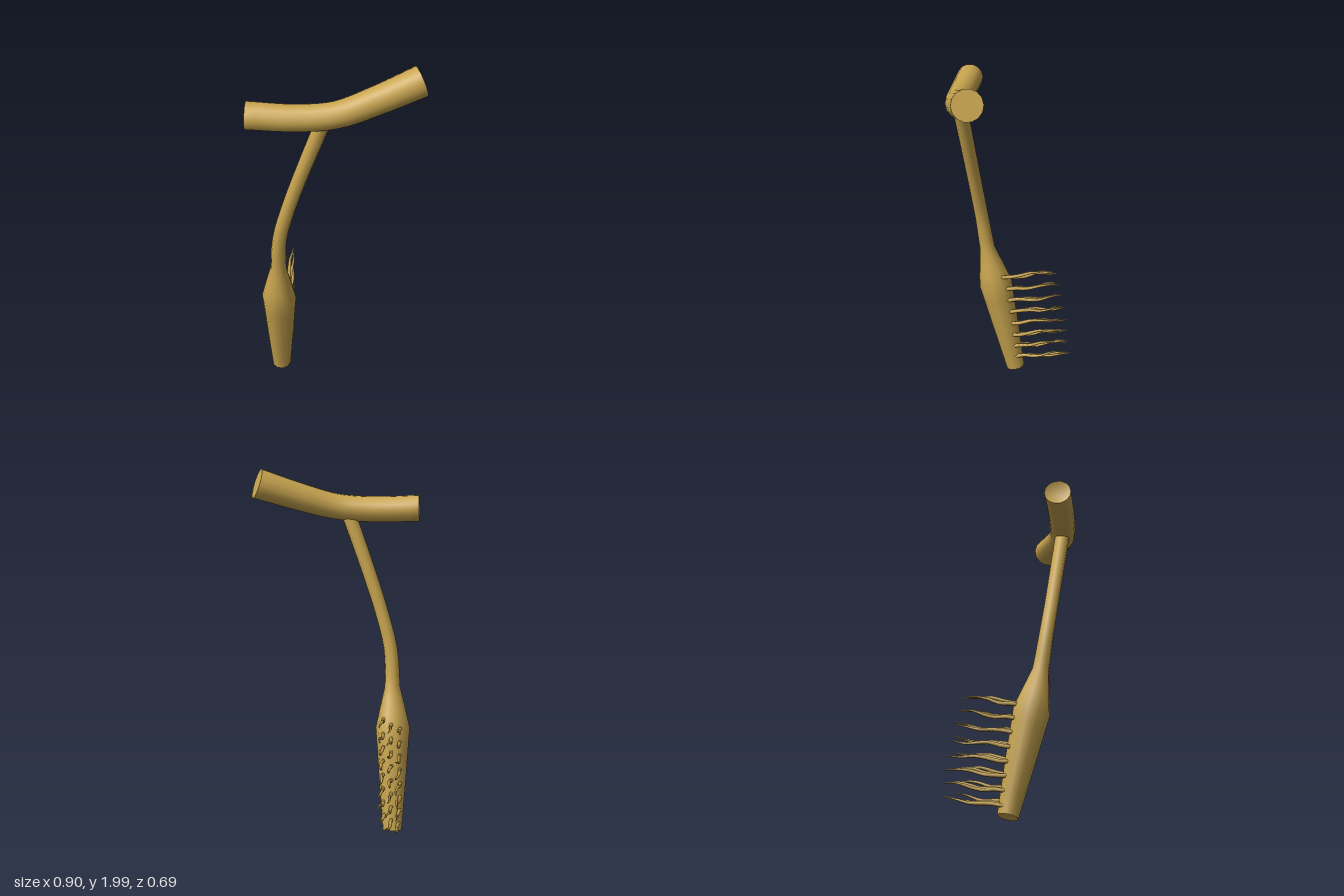
import * as THREE from 'three';

const V = (x, y, z) => new THREE.Vector3(x, y, z);

// Round limb swept through [x, y, z, radius] stations; startDent sinks the first cap
function sweep(stations, sides, steps, ref, startDent = 0) {
  const curve = new THREE.CatmullRomCurve3(stations.map(s => V(s[0], s[1], s[2])));
  const rings = (stations.length - 1) * steps;
  const pos = [], idx = [];
  const push = p => pos.push(p.x, p.y, p.z) / 3 - 1;
  const ringPoints = i => {
    const t = i / rings;
    const k = Math.min(Math.floor(i / steps), stations.length - 2);
    const r = THREE.MathUtils.lerp(stations[k][3], stations[k + 1][3], i / steps - k);
    const c = curve.getPoint(t), tan = curve.getTangent(t);
    const n = ref.clone().cross(tan).normalize();
    const b = tan.clone().cross(n);
    const pts = [];
    for (let j = 0; j < sides; j++) {
      const a = (j / sides) * Math.PI * 2;
      pts.push(c.clone().addScaledVector(n, r * Math.cos(a)).addScaledVector(b, r * Math.sin(a)));
    }
    return { c, tan, pts };
  };
  // Side wall
  for (let i = 0; i <= rings; i++) ringPoints(i).pts.forEach(push);
  for (let i = 0; i < rings; i++) {
    for (let j = 0; j < sides; j++) {
      const a = i * sides + j, b = i * sides + (j + 1) % sides;
      idx.push(a, b, a + sides, b, b + sides, a + sides);
    }
  }
  // Caps with their own corners, so the rims stay sharp
  for (const end of [0, rings]) {
    const { c, tan, pts } = ringPoints(end);
    const mid = push(end ? c : c.clone().addScaledVector(tan, startDent));
    const first = mid + 1;
    pts.forEach(push);
    for (let j = 0; j < sides; j++) {
      const a = first + j, b = first + (j + 1) % sides;
      if (end) idx.push(mid, a, b);
      else idx.push(mid, b, a);
    }
  }
  const g = new THREE.BufferGeometry();
  g.setAttribute('position', new THREE.Float32BufferAttribute(pos, 3));
  g.setIndex(idx);
  g.computeVertexNormals();
  return g;
}

export function createModel() {
  const model = new THREE.Group();
  const wood = new THREE.MeshStandardMaterial({ color: 0xc9a54f });
  wood.name = 'golden wood';
  const add = (name, geometry, parent = model) => {
    const m = new THREE.Mesh(geometry, wood);
    m.name = name;
    parent.add(m);
  };

  // Curved grip across the top
  add('crossbar', sweep([
    [-0.45, 1.78, 0.272, 0.072], [-0.2, 1.771, 0.26, 0.07], [0, 1.786, 0.236, 0.07],
    [0.2, 1.845, 0.172, 0.075], [0.41, 1.92, 0.096, 0.082],
  ], 14, 5, V(0, 1, 0), 0.03));

  // Swelling brush head that narrows into a bent neck
  add('headAndNeck', sweep([
    [-0.35, 0.017, -0.008, 0.053], [-0.343, 0.295, 0.05, 0.075], [-0.335, 0.575, 0.11, 0.095],
    [-0.326, 0.8, 0.155, 0.043], [-0.312, 1.0, 0.183, 0.038], [-0.26, 1.2, 0.204, 0.037],
    [-0.175, 1.45, 0.224, 0.038], [-0.06, 1.76, 0.247, 0.04],
  ], 10, 3, V(0, 0, 1), 0.03));

  // Wavy bristles in three staggered columns on the back of the head
  const bristles = new THREE.Group();
  bristles.name = 'bristles';
  model.add(bristles);
  for (let col = -1; col <= 1; col++) {
    for (let row = 0; row < 8; row++) {
      const k = row * 3 + col + 1;
      const y = 0.06 + row * 0.076 + (col + 1) * 0.022;
      const f = (y - 0.017) / 0.558;
      const r = f < 1 ? 0.053 + 0.042 * f : 0.095 - 0.23 * (y - 0.575);
      const dx = col * 0.046 * Math.min(1, r / 0.065);
      const x = -0.35 + 0.015 * f + dx;
      const z = -0.008 + 0.118 * f - Math.sqrt(r * r - dx * dx);
      const len = 0.27 + 0.03 * Math.sin(k * 2.3);
      const path = [];
      for (let i = 0; i <= 5; i++) {
        const t = i / 5;
        path.push([
          x + 0.009 * t * Math.sin(t * 7 + k * 1.7) - 0.012 * f * t,
          y + 0.055 * t + 0.009 * Math.sin(t * 8 + k * 0.4) * Math.min(1, t * 3),
          z + 0.02 - (len + 0.02) * t,
          0.011 - 0.008 * t * t,
        ]);
      }
      add('bristle', sweep(path, 6, 2, V(0, 1, 0)), bristles);
    }
  }
  return model;
}
